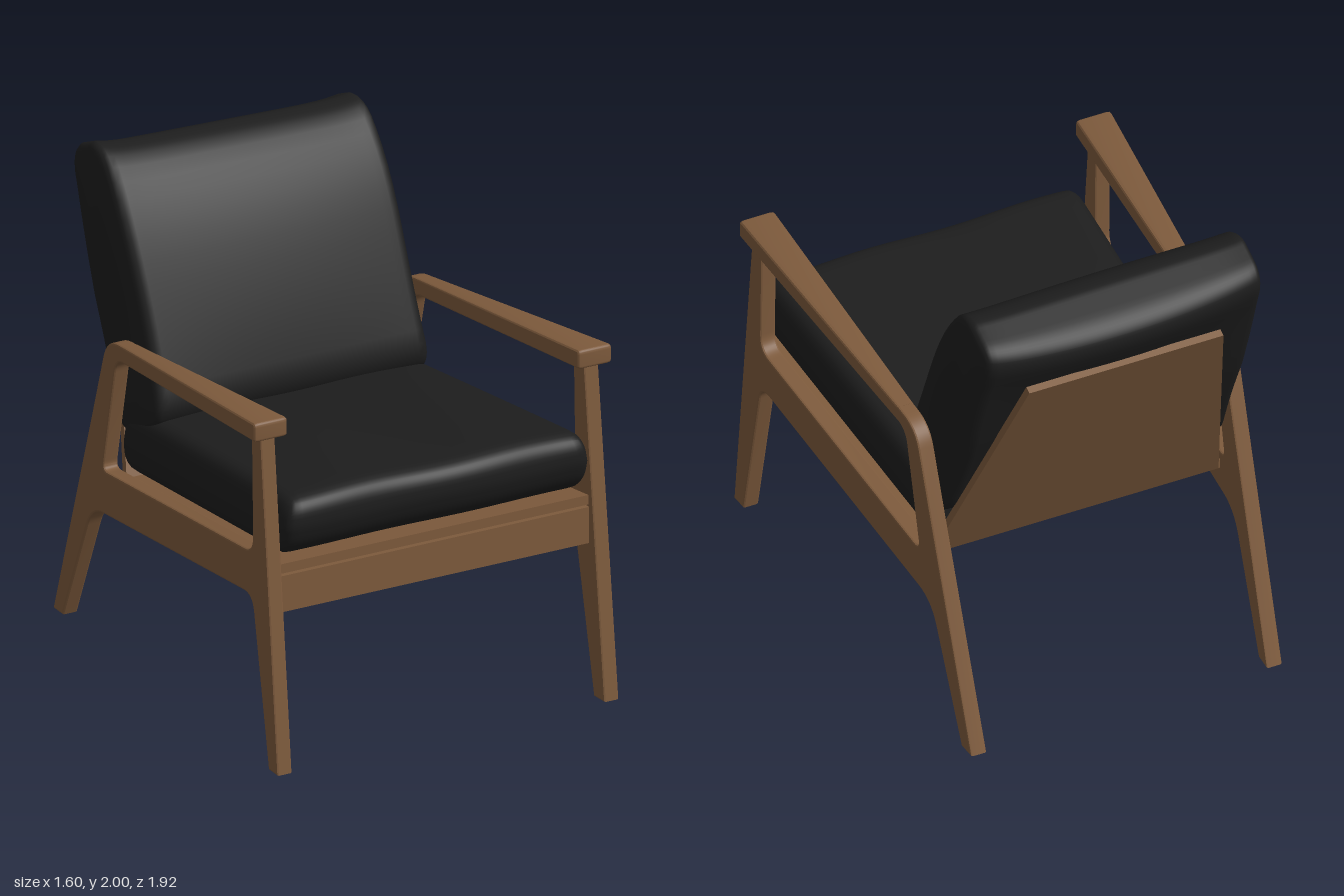
import * as THREE from 'three';
import { mergeVertices, toCreasedNormals } from 'three/addons/utils/BufferGeometryUtils.js';

const wood = new THREE.MeshStandardMaterial({ color: 0x7d5a3c });
wood.name = 'walnut wood';
const fabric = new THREE.MeshStandardMaterial({ color: 0x1d1d1d });
fabric.name = 'black upholstery';

const addMesh = (group, name, geometry, material) => {
  const mesh = new THREE.Mesh(geometry, material);
  mesh.name = name;
  group.add(mesh);
  return mesh;
};

// Apply a rule to every vertex
function moveVertices(geometry, rule) {
  const pos = geometry.attributes.position;
  const v = new THREE.Vector3();
  for (let i = 0; i < pos.count; i++) {
    v.fromBufferAttribute(pos, i);
    rule(v);
    pos.setXYZ(i, v.x, v.y, v.z);
  }
  geometry.computeVertexNormals();
  return geometry;
}

// Closed outline from [z, y, corner radius] points
function roundedShape(points) {
  const shape = new THREE.Shape();
  const n = points.length;
  points.forEach(([x, y, r = 0], i) => {
    const c = new THREE.Vector2(x, y);
    const toward = (p) => new THREE.Vector2(p[0], p[1]).sub(c).setLength(r).add(c);
    const a = toward(points[(i + n - 1) % n]);
    const b = toward(points[(i + 1) % n]);
    if (i === 0) shape.moveTo(a.x, a.y);
    else shape.lineTo(a.x, a.y);
    if (r > 0) shape.quadraticCurveTo(c.x, c.y, b.x, b.y);
  });
  shape.closePath();
  return shape;
}

// Side profile extruded across x; the frame toes in toward the back
function sideGeometry(points, side, halfWidth) {
  const bevel = 0.008;
  const geometry = new THREE.ExtrudeGeometry(roundedShape(points), {
    depth: 2 * (0.034 - bevel), bevelThickness: bevel, bevelSize: bevel,
    bevelOffset: -bevel, bevelSegments: 2, curveSegments: 8,
  });
  geometry.translate(0, 0, -(0.034 - bevel)).rotateY(-Math.PI / 2);
  moveVertices(geometry, (v) => {
    v.x = v.x * halfWidth(v.z) / 0.034 + side * (0.686 + 0.05 * v.z);
  });
  return toCreasedNormals(geometry, 0.35);
}

// Soft block with its own corner radius on each axis, then shaped by a rule
function cushionGeometry(half, radius, rule) {
  let geometry = new THREE.BoxGeometry(2, 2, 2, 28, 20, 28);
  geometry.deleteAttribute('uv');
  geometry.deleteAttribute('normal');
  geometry = mergeVertices(geometry);
  const axes = ['x', 'y', 'z'];
  return moveVertices(geometry, (v) => {
    const inner = new THREE.Vector3();
    const d = new THREE.Vector3();
    for (const k of axes) {
      const p = Math.sin(v[k] * Math.PI / 2) * half[k];
      const limit = half[k] - radius[k];
      inner[k] = THREE.MathUtils.clamp(p, -limit, limit);
      d[k] = (p - inner[k]) / radius[k];
    }
    v.copy(d.normalize().multiply(radius).add(inner));
    rule(v);
  });
}

const framePoints = [
  [0.965, 0], [0.815, 1.41], [0.745, 1.41], [0.757, 0.865, 0.07],
  [-0.515, 0.735, 0.045], [-0.4, 1.243, 0.06], [-0.33, 1.25], [-0.33, 1.318],
  [-0.48, 1.302, 0.09], [-0.6, 0.95], [-0.93, 0], [-0.85, 0],
  [-0.605, 0.545, 0.1], [0.75, 0.685, 0.07], [0.89, 0],
];
const armPoints = [
  [0.85, 1.37, 0.01], [0.85, 1.449, 0.02], [-0.345, 1.317], [-0.345, 1.248],
];

export function createModel() {
  const chair = new THREE.Group();
  chair.name = 'lounge chair';

  // Side frames with legs, and armrests that widen toward the front
  for (const [side, label] of [[1, 'left'], [-1, 'right']]) {
    addMesh(chair, label + 'SideFrame', sideGeometry(framePoints, side, () => 0.034), wood);
    addMesh(chair, label + 'Armrest',
      sideGeometry(armPoints, side, (z) => 0.034 + 0.034 * (z + 0.345)), wood);
  }

  // Front rail
  addMesh(chair, 'frontRail', new THREE.BoxGeometry(1.41, 0.152, 0.06), wood)
    .position.set(0, 0.711, 0.83);

  // Sloping seat panel, narrower at the back
  addMesh(chair, 'seatPanel', moveVertices(new THREE.BoxGeometry(2, 0.04, 1.33), (v) => {
    v.z += 0.19;
    v.x *= 0.667 + 0.045 * v.z;
    v.y += 0.815 + 0.1 * (v.z - 0.85);
  }), wood);

  // Reclined back, built upright and tilted as one
  const back = new THREE.Group();
  back.name = 'back';
  back.position.set(0, 0.95, -0.57);
  back.rotation.x = -0.415;
  chair.add(back);

  // Back panel tapering toward the top
  addMesh(back, 'backPanel', moveVertices(new THREE.BoxGeometry(2, 1.12, 0.03), (v) => {
    v.y += 0.26;
    v.z -= 0.015;
    v.x *= 0.567 - 0.179 * v.y;
  }), wood);

  // Back cushion, thinner at the top with raised corners
  const backHalf = new THREE.Vector3(0.616, 0.56, 0.185);
  addMesh(back, 'backCushion', cushionGeometry(backHalf, new THREE.Vector3(0.04, 0.11, 0.13), (v) => {
    const u = v.x / backHalf.x;
    const t = v.y / backHalf.y;
    const n = v.z / backHalf.z;
    const top = Math.max(0, t);
    if (n > 0) v.z += n * (0.045 * (1 - t * t) * (1 - 0.5 * u * u) - 0.07 * top ** 3);
    else v.z -= n * (0.06 * u * u * top - 0.03 * top ** 6);
    v.x *= 1 - 0.025 * t + 0.012 * Math.sin(3 * t);
    v.y += top * (0.025 * u ** 8 - 0.018 * u);
    v.y += 0.455;
    v.z += 0.183;
  }), fabric);

  // Seat cushion, following the slope and toe-in of the frame
  const seatHalf = new THREE.Vector3(1, 0.127, 0.7);
  addMesh(chair, 'seatCushion', cushionGeometry(seatHalf, new THREE.Vector3(0.08, 0.09, 0.09), (v) => {
    const u = v.x;
    const n = v.y / seatHalf.y;
    const w = v.z / seatHalf.z;
    if (n > 0) v.y += 0.014 * n * (1 - w * w) * (1 - u * u);
    else v.z += 0.04 * n * Math.max(0, w) ** 4;
    v.z += 0.203 + 0.006 * Math.max(0, w) * Math.sin(6 * u);
    v.x *= (0.656 + 0.044 * v.z) * (1 - 0.03 * Math.max(0, n));
    v.y += 0.93 + 0.09 * (v.z - 0.2) - 0.004 * Math.max(0, n) * Math.cos(6 * u);
  }), fabric);

  return chair;
}
